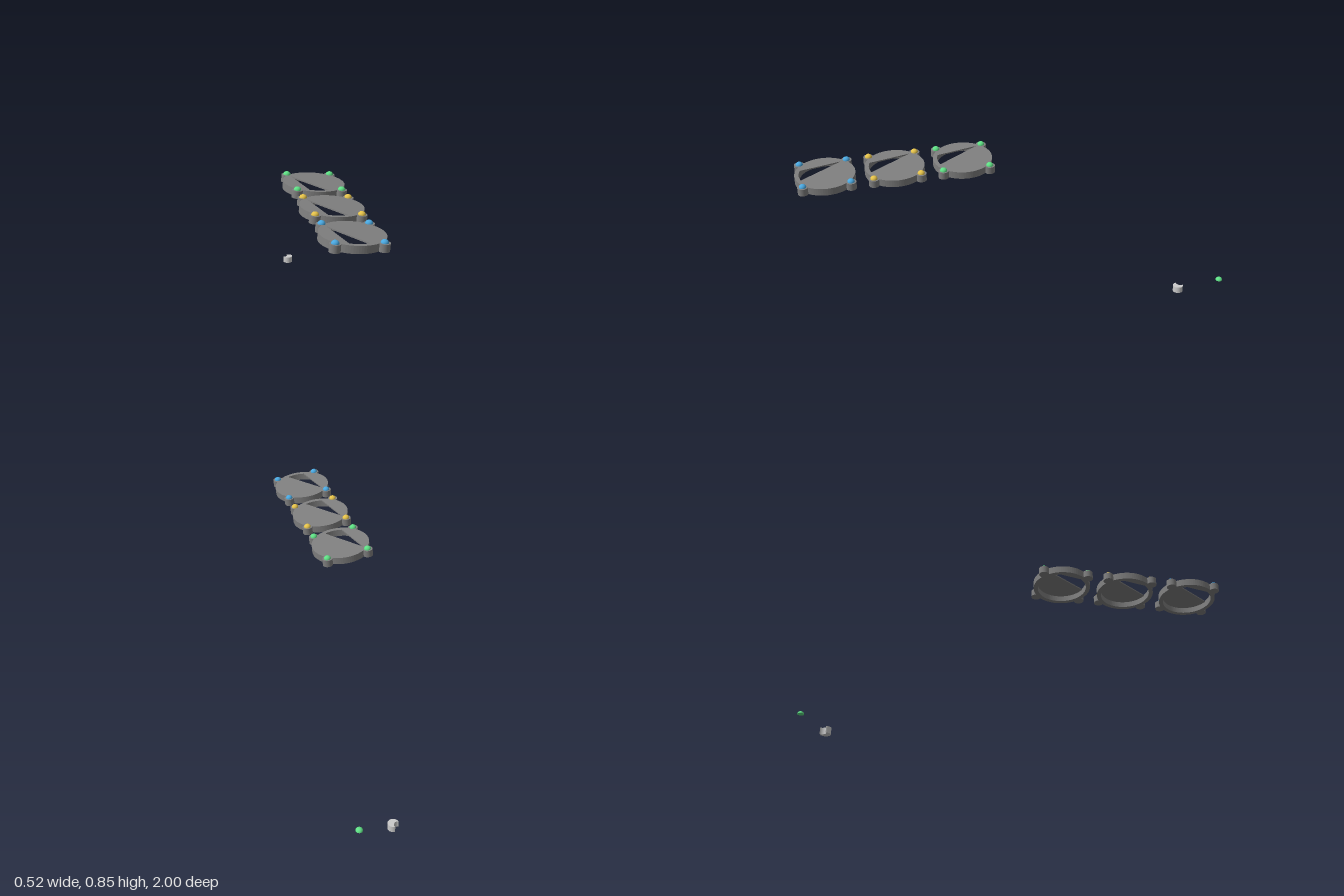
import * as THREE from 'three';

const mat = (color) => new THREE.MeshStandardMaterial({ color });
const DARK = mat(0x808080), GREY = mat(0xcccccc);
const GREEN = mat(0x5fe085), YELLOW = mat(0xe6c34a), BLUE = mat(0x4aa8e0);

const OUTER = 0.138, INNER = 0.118, HEIGHT = 0.034, PLATE = 0.006;

function add(parent, name, geometry, material, x = 0, y = 0, z = 0) {
  const mesh = new THREE.Mesh(geometry, material);
  mesh.name = name;
  mesh.position.set(x, y, z);
  parent.add(mesh);
  return mesh;
}

// Extrudes a plan shape (shape y = -z) upward from y = 0
function slab(shape, depth) {
  return new THREE.ExtrudeGeometry(shape, { depth, bevelEnabled: false, curveSegments: 40 }).rotateX(-Math.PI / 2);
}

// Round disc outline with an optional hole
function discShape(hole) {
  const shape = new THREE.Shape();
  shape.absarc(0, 0, OUTER, 0, Math.PI * 2);
  shape.holes.push(hole);
  return shape;
}

// Closed hemisphere: profile runs from the bottom centre to the top
function domeGeometry() {
  const pts = [new THREE.Vector2(0, 0), new THREE.Vector2(0.0165, 0)];
  for (let i = 0; i <= 8; i++) {
    const a = (i / 8) * Math.PI / 2;
    pts.push(new THREE.Vector2(0.0165 * Math.cos(a), 0.0145 * Math.sin(a)));
  }
  return new THREE.LatheGeometry(pts, 24);
}

// Open ring under a flat plate with a tapering slot, four bosses and domes
function ringUnit(name, x, y, z, color) {
  const unit = new THREE.Group();
  unit.name = name;
  unit.position.set(x, y, z);
  unit.rotation.set(0.0125, -0.025, -0.08);

  const bore = new THREE.Path();
  bore.absarc(0, 0, INNER, 0, Math.PI * 2, true);
  add(unit, 'ringWall', slab(discShape(bore), HEIGHT - PLATE), DARK);

  const slot = new THREE.Path();
  slot.moveTo(-0.088, 0.082);
  slot.absarc(0, 0, INNER, -1.96, -1.22, false);
  slot.lineTo(-0.088, 0.082);
  add(unit, 'slottedPlate', slab(discShape(slot), PLATE), DARK, 0, HEIGHT - PLATE, 0);

  for (const sx of [-1, 1]) {
    for (const sz of [-1, 1]) {
      const boss = new THREE.CylinderGeometry(0.024, 0.024, HEIGHT, 28);
      add(unit, 'boss', boss, DARK, sx * 0.1, HEIGHT / 2, sz * 0.108);
      add(unit, 'dome', domeGeometry(), color, sx * 0.1, HEIGHT, sz * 0.108);
    }
  }
  return unit;
}

// Cylinder with a round bite taken out of its back right side
function crescentGeometry() {
  const r = 0.025, bite = 0.02, offset = 0.0177;
  const shape = new THREE.Shape();
  shape.absarc(0, 0, r, Math.PI, Math.PI * 2.5, false);
  shape.absarc(-offset, offset, bite, 0.43, -2.0, true);
  return slab(shape, 0.032);
}

export function createModel() {
  const model = new THREE.Group();
  model.name = 'ringSet';
  model.add(
    ringUnit('backRing', -0.106, 0.797, 0.219, GREEN),
    ringUnit('middleRing', -0.113, 0.793, 0.538, YELLOW),
    ringUnit('frontRing', -0.12, 0.789, 0.857, BLUE),
  );

  // Loose parts
  add(model, 'looseCrescent', crescentGeometry(), GREY, 0.035, 0, -0.865);
  add(model, 'looseDome', domeGeometry(), GREEN, 0.242, 0.172, -0.985);
  return model;
}
